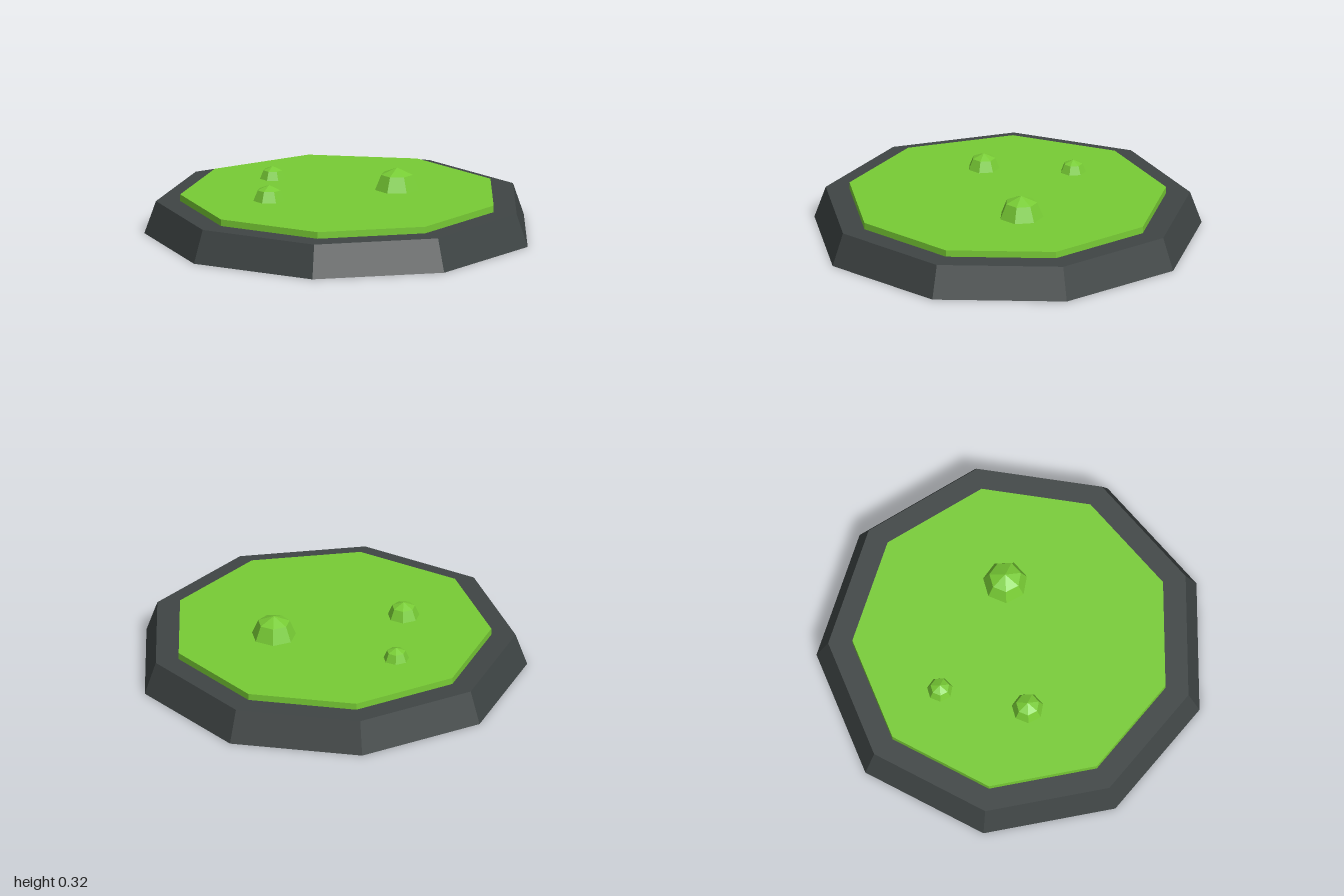
import * as THREE from 'three';

export function createModel() {
  const model = new THREE.Group();
  const stone = new THREE.MeshStandardMaterial({ color: 0x3f4545, flatShading: true });
  stone.name = 'dark stone';
  const slime = new THREE.MeshStandardMaterial({ color: 0x78cc35, flatShading: true });
  slime.name = 'bright green';

  const centreZ = 0.03; // nonagon has a corner at the back, a flat at the front

  function slab(name, rTop, rBottom, y0, y1, material) {
    const geometry = new THREE.CylinderGeometry(rTop, rBottom, y1 - y0, 9);
    geometry.rotateY(Math.PI);
    const mesh = new THREE.Mesh(geometry, material);
    mesh.name = name;
    mesh.position.set(0, (y0 + y1) / 2, centreZ);
    model.add(mesh);
  }

  // Tapered stone base and the green pool on top
  slab('stoneBase', 0.955, 1.015, 0, 0.17, stone);
  slab('pool', 0.83, 0.83, 0.165, 0.205, slime);

  // Seven-sided half-sphere bubbles: x, z, radius
  const bubbles = [
    ['largeBubble', 0.253, 0.198, 0.118],
    ['mediumBubble', -0.343, -0.172, 0.085],
    ['smallBubble', 0.032, -0.445, 0.069],
  ];
  for (const [name, x, z, r] of bubbles) {
    const geometry = new THREE.SphereGeometry(r, 7, 2, 0, Math.PI * 2, 0, Math.PI / 2);
    geometry.rotateY(-Math.PI / 2); // corner towards the back
    const mesh = new THREE.Mesh(geometry, slime);
    mesh.name = name;
    mesh.position.set(x, 0.2, z);
    model.add(mesh);
  }
  return model;
}
